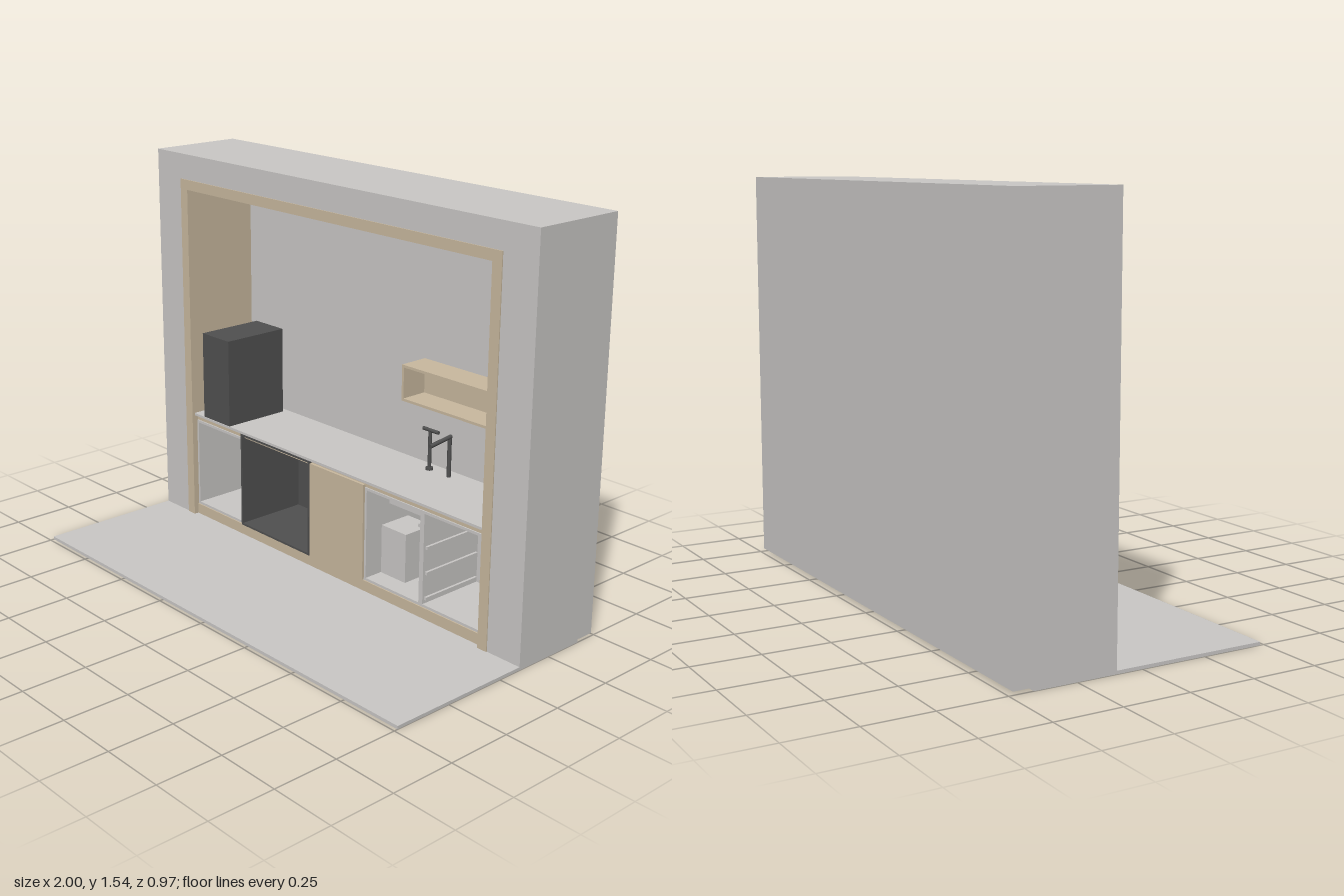
import * as THREE from 'three';

const mat = (name, color) => {
  const m = new THREE.MeshStandardMaterial({ color });
  m.name = name;
  return m;
};

export function createModel() {
  const root = new THREE.Group();
  root.name = 'kitchenNiche';
  const grey = mat('plaster grey', 0xcac8c6);
  const wood = mat('pale wood', 0xc9b99f);
  const dark = mat('charcoal', 0x505050);

  const add = (name, geo, material, parent = root) => {
    const mesh = new THREE.Mesh(geo, material);
    mesh.name = name;
    parent.add(mesh);
    return mesh;
  };
  // Box given by its limits on each axis
  const box = (name, material, x0, x1, y0, y1, z0, z1, parent = root) => {
    const m = add(name, new THREE.BoxGeometry(x1 - x0, y1 - y0, z1 - z0), material, parent);
    m.position.set((x0 + x1) / 2, (y0 + y1) / 2, (z0 + z1) / 2);
    return m;
  };
  const group = (name) => {
    const g = new THREE.Group();
    g.name = name;
    root.add(g);
    return g;
  };
  // Open-fronted box made from five panels
  const openBox = (name, material, x0, x1, y0, y1, z0, z1, t) => {
    const g = group(name);
    box('leftPanel', material, x0, x0 + t, y0, y1, z0, z1, g);
    box('rightPanel', material, x1 - t, x1, y0, y1, z0, z1, g);
    box('bottomPanel', material, x0 + t, x1 - t, y0, y0 + t, z0, z1, g);
    box('topPanel', material, x0 + t, x1 - t, y1 - t, y1, z0, z1, g);
    box('backPanel', material, x0 + t, x1 - t, y0 + t, y1 - t, z0, z0 + t, g);
    return g;
  };

  const front = -0.1, back = -0.42, base = 0.012;

  // Floor slab and wall with a recess
  box('floor', grey, -1, 1, 0, base, -0.41, 0.485);
  const outline = new THREE.Shape();
  [[-1, base], [-0.85, base], [-0.85, 1.44], [0.85, 1.44], [0.85, base], [1, base], [1, 1.54], [-1, 1.54]]
    .forEach(([x, y], i) => (i ? outline.lineTo(x, y) : outline.moveTo(x, y)));
  const surround = new THREE.ExtrudeGeometry(outline, { depth: front - back, bevelEnabled: false });
  add('wallSurround', surround, grey).position.z = back;
  box('wallBack', grey, -1, 1, base, 1.54, -0.485, back);

  // Wooden lining of the recess
  const rim = front + 0.004;
  box('leftLining', wood, 0.808, 0.85, base, 1.44, back, rim);
  box('rightLining', wood, -0.85, -0.808, base, 1.44, back, rim);
  box('topLining', wood, -0.808, 0.808, 1.4, 1.44, back, rim);

  // Plinth, worktop and its front rail
  box('plinth', wood, -0.808, 0.808, base, 0.055, back, -0.115);
  box('worktopRail', wood, -0.808, 0.808, 0.43, 0.455, -0.145, -0.125);
  box('worktop', grey, -0.808, 0.808, 0.452, 0.462, back, -0.108);

  // Base cabinets
  openBox('endCabinet', grey, -0.808, -0.512, 0.055, 0.43, back, -0.12, 0.01);
  openBox('applianceHousing', dark, -0.51, -0.096, 0.055, 0.45, back, -0.11, 0.008);
  box('cabinetDoor', wood, -0.094, 0.204, 0.055, 0.44, -0.135, -0.113);
  openBox('sinkCabinet', grey, 0.206, 0.504, 0.055, 0.43, back, -0.12, 0.01);
  openBox('drawerCabinet', grey, 0.504, 0.804, 0.055, 0.43, back, -0.12, 0.01);

  // Drawer runners on both sides
  for (const y of [0.085, 0.185, 0.285]) {
    for (const x of [0.514, 0.784]) box('drawerRunner', grey, x, x + 0.01, y - 0.006, y + 0.006, -0.4, -0.13);
  }

  // Sink basin, water heater and filter under the worktop
  box('sinkBasin', grey, 0.255, 0.455, 0.36, 0.428, -0.38, -0.2);
  box('waterHeater', grey, 0.217, 0.345, 0.065, 0.26, -0.34, -0.2);
  box('heaterValve', grey, 0.33, 0.344, 0.266, 0.28, -0.4, -0.28);
  add('filterCylinder', new THREE.CylinderGeometry(0.035, 0.035, 0.28, 32), grey).position.set(0.43, 0.205, -0.28);

  // Dark worktop appliances
  box('tallAppliance', dark, -0.745, -0.58, 0.462, 0.82, -0.395, -0.11);
  box('sideTank', dark, -0.807, -0.745, 0.462, 0.675, -0.395, -0.165);

  // Hollow wall shelf
  openBox('wallShelf', wood, 0.208, 0.806, 0.73, 0.87, back, -0.3, 0.01);

  // Mixer tap with a crossbar, and a spout tap
  const tap = group('mixerTap');
  const cyl = (name, r, h, x, y, z) => {
    const m = add(name, new THREE.CylinderGeometry(r, r, h, 20), dark, tap);
    m.position.set(x, y, z);
    return m;
  };
  cyl('tapBase', 0.014, 0.01, 0.293, 0.467, -0.37);
  cyl('tapPost', 0.007, 0.155, 0.293, 0.54, -0.37);
  cyl('tapCrossbar', 0.007, 0.078, 0.297, 0.619, -0.37).rotation.z = Math.PI / 2;
  cyl('spoutPost', 0.008, 0.158, 0.393, 0.541, -0.37);
  cyl('spout', 0.008, 0.11, 0.393, 0.613, -0.322).rotation.x = Math.PI / 2 + 0.12;

  return root;
}
